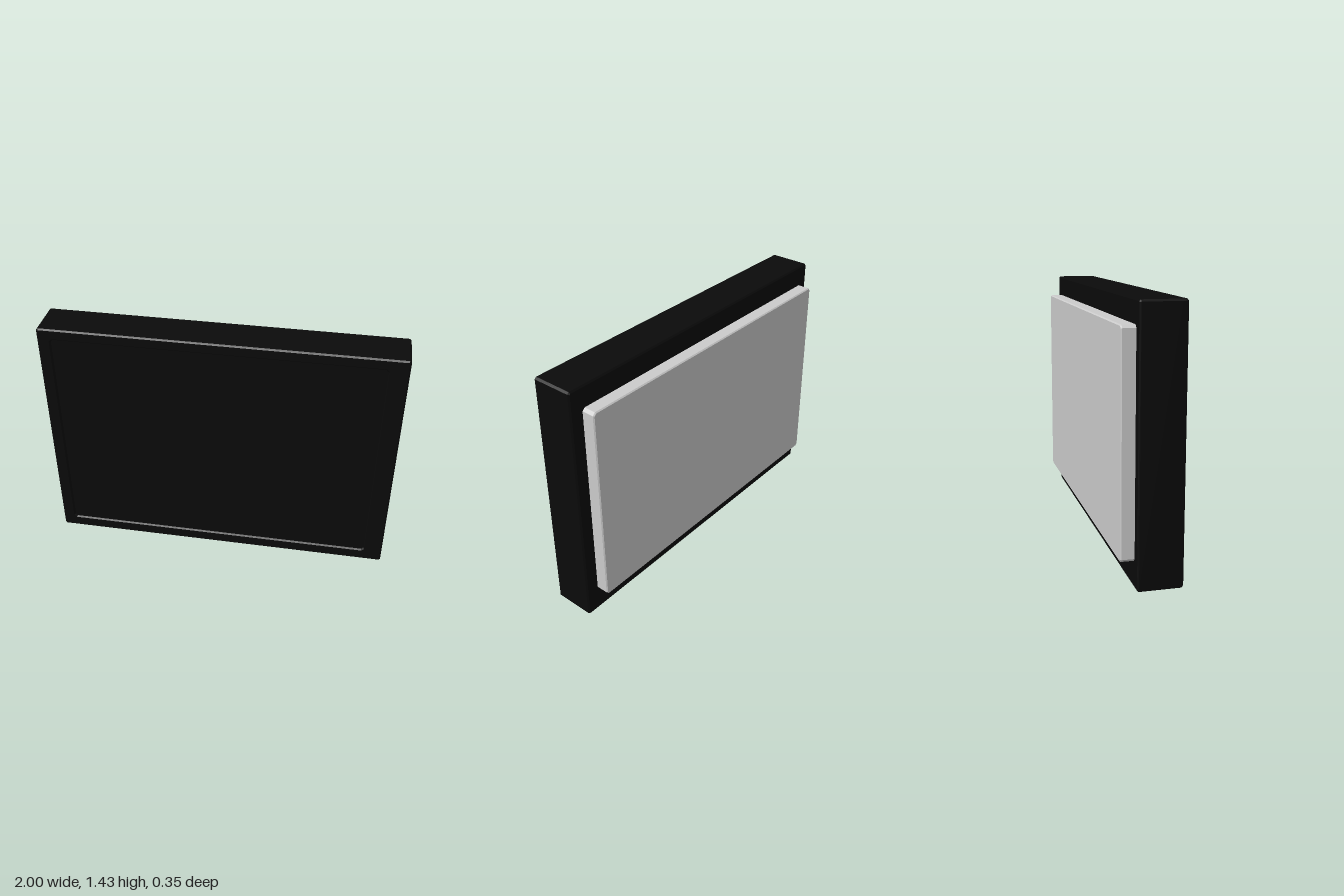
import * as THREE from 'three';

const BLACK = new THREE.MeshStandardMaterial({ color: 0x0a0a0a, flatShading: true });
const GREY = new THREE.MeshStandardMaterial({ color: 0xcccccc, flatShading: true });

// Rectangle with cut corners, centred on (cx, cy)
function cutRect(Type, w, h, cut, cx = 0, cy = 0) {
  const x = w / 2, y = h / 2;
  const points = [
    [-x + cut, -y], [x - cut, -y], [x, -y + cut], [x, y - cut],
    [x - cut, y], [-x + cut, y], [-x, y - cut], [-x, -y + cut],
  ];
  return new Type(points.map(([px, py]) => new THREE.Vector2(px + cx, py + cy)));
}

// Bevelled slab reaching exactly from zBack to zFront
function slab(name, shape, zBack, zFront, bevel, material) {
  const geometry = new THREE.ExtrudeGeometry(shape, {
    depth: zFront - zBack - 2 * bevel,
    bevelEnabled: true,
    bevelThickness: bevel,
    bevelSize: bevel,
    bevelOffset: -bevel,
    bevelSegments: 1,
  });
  geometry.translate(0, 0, zBack + bevel);
  const mesh = new THREE.Mesh(geometry, material);
  mesh.name = name;
  return mesh;
}

export function createModel() {
  const model = new THREE.Group();
  model.name = 'flatScreen';

  const width = 1.994, height = 1.43, midY = height / 2;
  const front = 0.152, back = -0.086;

  // Main casing
  const outline = () => cutRect(THREE.Shape, width, height, 0.01, 0, midY);
  model.add(slab('casing', outline(), back, front - 0.02, 0.008, BLACK));

  // Bezel around the screen opening
  const bezel = outline();
  bezel.holes.push(cutRect(THREE.Path, 1.81, 1.29, 0.012, -0.018, 0.72));
  model.add(slab('bezel', bezel, front - 0.05, front, 0.008, BLACK));

  // Screen set slightly behind the bezel
  const screen = cutRect(THREE.Shape, 1.84, 1.32, 0.01, -0.018, 0.72);
  model.add(slab('screen', screen, front - 0.035, front - 0.01, 0.002, BLACK));

  // Raised rear cover
  const cover = cutRect(THREE.Shape, 1.86, 1.17, 0.015, -0.011, 0.725);
  model.add(slab('rearCover', cover, -0.16, back + 0.02, 0.006, GREY));

  // The whole panel is turned a little to one side
  model.rotation.y = 0.0215;
  const group = new THREE.Group();
  group.add(model);
  return group;
}
